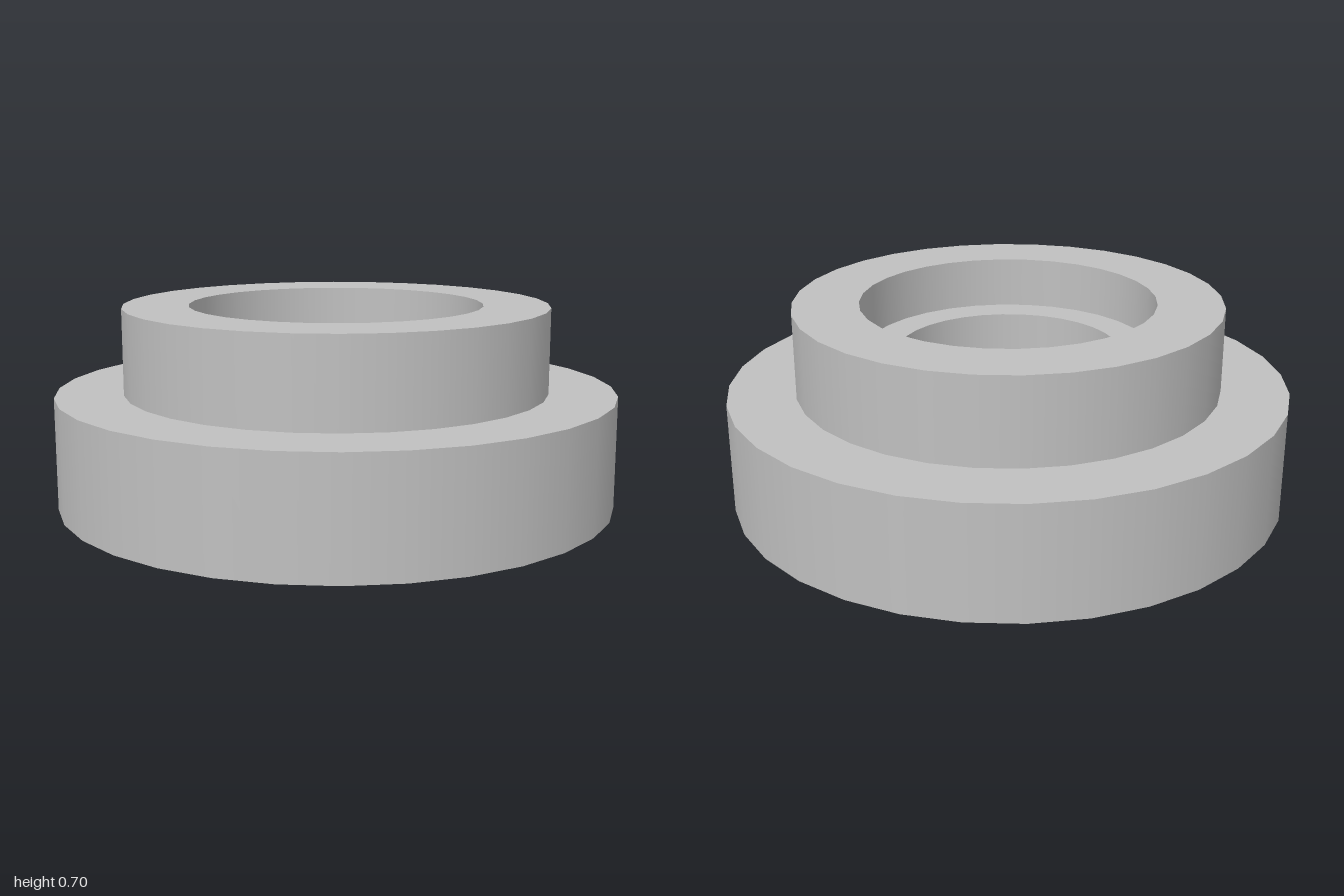
import * as THREE from 'three';

const SIDES = 32;

export function createModel() {
  const model = new THREE.Group();
  model.name = 'steppedBushing';
  const grey = new THREE.MeshStandardMaterial({ color: 0xc0c0c0 });
  grey.name = 'plain grey';

  // Radii and heights
  const flangeR = 1, bossR = 0.76, recessR = 0.525, boreR = 0.4;
  const flangeY = 0.4, topY = 0.705, ledgeY = 0.52;

  // Each profile edge is its own lathe: round walls stay smooth, rims stay sharp
  const addFace = (name, r0, y0, r1, y1) => {
    const edge = [new THREE.Vector2(r0, y0), new THREE.Vector2(r1, y1)];
    const mesh = new THREE.Mesh(new THREE.LatheGeometry(edge, SIDES), grey);
    mesh.name = name;
    model.add(mesh);
  };

  // Wide flange
  addFace('flangeUnderside', boreR, 0, flangeR, 0);
  addFace('flangeWall', flangeR, 0, flangeR, flangeY);
  addFace('flangeTop', flangeR, flangeY, bossR, flangeY);

  // Raised boss
  addFace('bossWall', bossR, flangeY, bossR, topY);
  addFace('bossRim', bossR, topY, recessR, topY);

  // Stepped recess and through bore
  addFace('recessWall', recessR, topY, recessR, ledgeY);
  addFace('recessLedge', recessR, ledgeY, boreR, ledgeY);
  addFace('boreWall', boreR, ledgeY, boreR, 0);

  return model;
}
